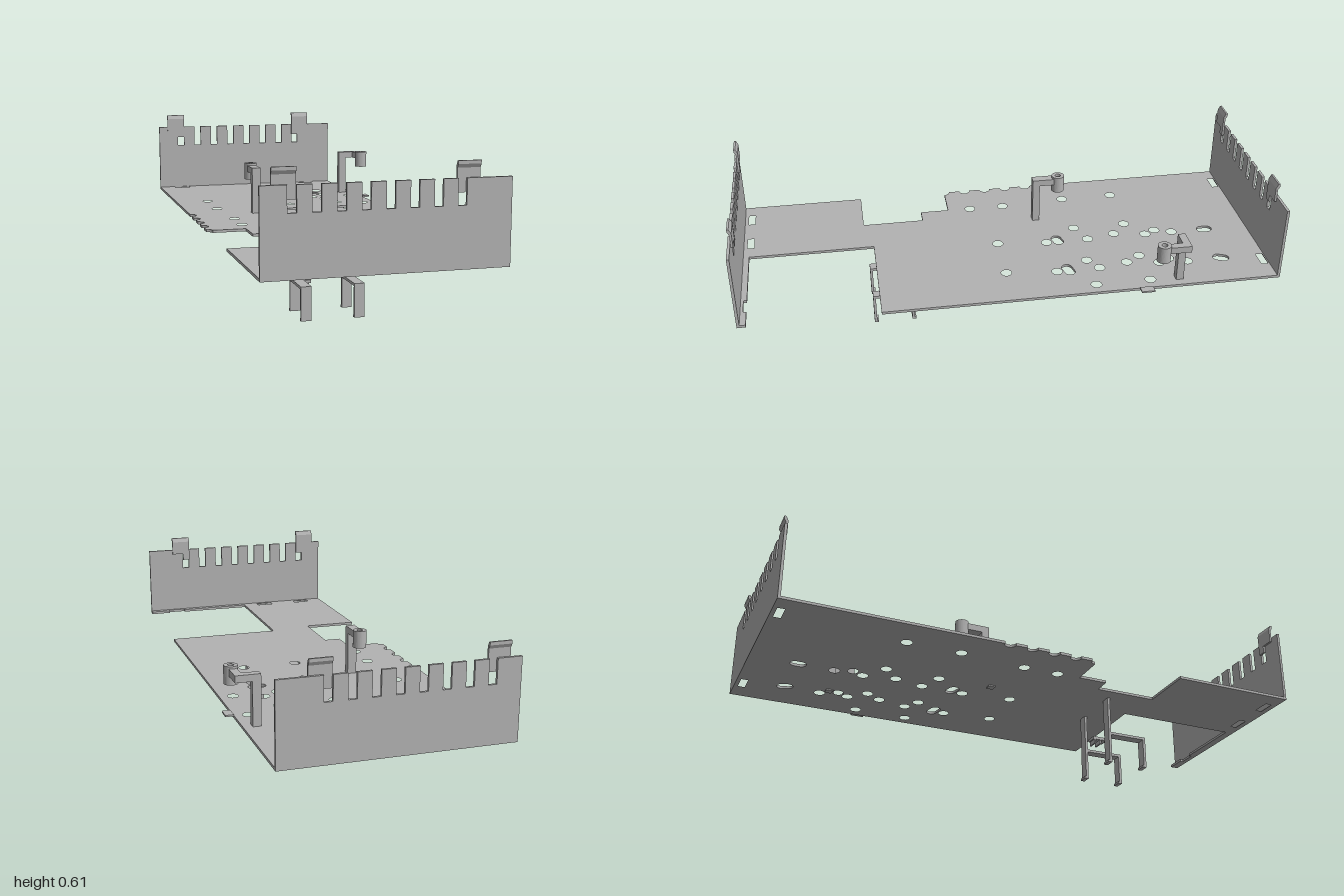
import * as THREE from 'three';

const gray = new THREE.MeshStandardMaterial({ color: 0xb2b2b2 });
gray.name = 'gray';

const BOTTOM = 0.265, TOP = 0.275;
const LEFT = -0.425, RIGHT = 0.385;

export function createModel() {
  const model = new THREE.Group();
  model.name = 'chassis';

  function add(name, geometry, parent = model) {
    const mesh = new THREE.Mesh(geometry, gray);
    mesh.name = name;
    parent.add(mesh);
    return mesh;
  }
  // Box given by its limits on each axis
  function box(name, x0, x1, y0, y1, z0, z1, parent) {
    const g = new THREE.BoxGeometry(x1 - x0, y1 - y0, z1 - z0);
    g.translate((x0 + x1) / 2, (y0 + y1) / 2, (z0 + z1) / 2);
    return add(name, g, parent);
  }
  function extrude(shape, depth) {
    return new THREE.ExtrudeGeometry(shape, { depth, bevelEnabled: false, curveSegments: 16 });
  }
  function group(name) {
    const g = new THREE.Group();
    g.name = name;
    model.add(g);
    return g;
  }

  // Base plate outline, drawn in x and -z
  const plate = new THREE.Shape();
  plate.moveTo(LEFT, 0.99);
  plate.lineTo(RIGHT, 0.99);
  plate.lineTo(RIGHT, -0.49);
  plate.lineTo(-0.053, -0.49);
  plate.lineTo(-0.053, -0.99);
  plate.lineTo(LEFT, -0.99);
  plate.lineTo(LEFT, -0.52);
  plate.lineTo(-0.217, -0.52);
  plate.lineTo(-0.217, -0.283);
  plate.lineTo(-0.28, -0.283);
  plate.lineTo(-0.28, -0.172);
  plate.lineTo(-0.404, -0.172);
  // Scalloped side edge
  plate.absarc(LEFT, -0.172, 0.021, 0, Math.PI / 2, false);
  for (const z of [0.086, 0, -0.086, -0.172]) {
    plate.absarc(LEFT, -z, 0.021, -Math.PI / 2, Math.PI / 2, false);
  }
  plate.lineTo(LEFT, 0.99);

  // Round holes: x, z
  const holes = [
    [0.025, -0.685], [0.238, -0.685], [0.003, -0.62], [0.209, -0.62],
    [0.025, -0.577], [0.23, -0.577], [0.003, -0.455], [0.209, -0.455],
    [0.025, -0.344], [0.23, -0.344], [0.025, -0.18], [0.23, -0.18],
    [0.003, 0.01], [0.209, 0.01], [-0.276, -0.053], [-0.276, 0.082],
  ];
  for (const z of [-0.513, -0.307]) {
    for (const x of [-0.294, -0.063, 0.172, 0.336]) holes.push([x, z]);
  }
  for (const [x, z] of holes) {
    plate.holes.push(new THREE.Path().absarc(x, -z, 0.02, 0, Math.PI * 2, true));
  }
  // Merged pairs of holes, rounded at both ends
  for (const [x0, z0, x1, z1] of [
    [0.025, -0.83, 0.025, -0.81], [0.238, -0.83, 0.23, -0.81],
    [0.003, -0.222, 0.025, -0.228], [0.209, -0.222, 0.238, -0.228],
  ]) {
    const a = Math.atan2(z0 - z1, x1 - x0);
    const p = new THREE.Path();
    p.absarc(x0, -z0, 0.02, a + Math.PI / 2, a + Math.PI * 1.5, false);
    p.absarc(x1, -z1, 0.02, a - Math.PI / 2, a + Math.PI / 2, false);
    p.closePath();
    plate.holes.push(p);
  }
  // Rectangular slots beside the end walls
  for (const [x, z] of [[-0.36, 0.95], [-0.182, 0.95], [-0.36, -0.985], [0.235, -0.985]]) {
    const p = new THREE.Path();
    p.moveTo(x, -z);
    p.lineTo(x + 0.067, -z);
    p.lineTo(x + 0.067, -z - 0.026);
    p.lineTo(x, -z - 0.026);
    p.closePath();
    plate.holes.push(p);
  }
  const plateGeometry = extrude(plate, TOP - BOTTOM);
  plateGeometry.rotateX(-Math.PI / 2);
  plateGeometry.translate(0, BOTTOM, 0);
  add('basePlate', plateGeometry);

  // Comb-topped end walls, each with two bent clips on the inside
  const wall = new THREE.Shape();
  wall.moveTo(LEFT, BOTTOM);
  wall.lineTo(RIGHT, BOTTOM);
  wall.lineTo(RIGHT, 0.553);
  for (let i = 7; i >= 0; i--) {
    const x = -0.34 + i * 0.0777;
    wall.lineTo(x + 0.029, 0.553);
    wall.lineTo(x + 0.029, 0.468);
    wall.lineTo(x, 0.468);
    wall.lineTo(x, 0.553);
  }
  wall.lineTo(LEFT, 0.553);

  // Clip profile, drawn in z and y
  const clip = new THREE.Shape([
    [0.982, 0.535], [0.99, 0.535], [0.99, 0.584], [0.997, 0.596], [0.997, 0.607],
    [0.99, 0.607], [0.982, 0.59],
  ].map(([z, y]) => new THREE.Vector2(z, y)));

  for (const side of [1, -1]) {
    const end = group(side > 0 ? 'frontWall' : 'backWall');
    const g = extrude(wall, 0.01);
    g.translate(0, 0, side > 0 ? 0.99 : -1);
    add('combWall', g, end);
    for (const [x, tongue] of [[-0.388, -0.34], [0.203, 0.203]]) {
      const c = extrude(clip, 0.077);
      c.rotateY(-Math.PI / 2);
      // Turned profile points along +z with its width running towards -x
      c.translate(x + 0.077, 0, 0);
      if (side < 0) {
        c.rotateY(Math.PI);
        c.translate(2 * x + 0.077, 0, 0);
      }
      add('clip', c, end);
      const z0 = side > 0 ? 0.982 : -0.99;
      box('clipTongue', tongue, tongue + 0.029, 0.507, 0.535, z0, z0 + 0.008, end);
    }
  }

  // Narrow foot flange along the open part of the front wall
  box('wallFlange', -0.053, 0.235, BOTTOM, TOP, 0.968, 0.99);
  box('wallFlange', 0.235, 0.305, BOTTOM, TOP, 0.98, 0.99);
  box('wallFlange', 0.305, RIGHT, BOTTOM, TOP, 0.968, 0.99);

  // Hollow socket on the end of each arm
  function socket(x, z, parent) {
    const ring = new THREE.Shape().absarc(0, 0, 0.025, 0, Math.PI * 2, false);
    ring.holes.push(new THREE.Path().absarc(0, 0, 0.011, 0, Math.PI * 2, true));
    const g = extrude(ring, 0.065);
    g.rotateX(-Math.PI / 2);
    g.translate(x, 0.4, z);
    add('socket', g, parent);
  }
  const inner = group('innerBracket');
  box('post', -0.18, -0.146, TOP, 0.457, -0.183, -0.155, inner);
  box('arm', -0.18, -0.146, 0.432, 0.457, -0.24, -0.183, inner);
  socket(-0.163, -0.258, inner);

  const outer = group('edgeBracket');
  box('post', 0.323, 0.353, TOP, 0.457, -0.635, -0.607, outer);
  box('arm', 0.353, 0.412, 0.432, 0.457, -0.635, -0.607, outer);
  box('arm', 0.384, 0.412, 0.432, 0.457, -0.607, -0.555, outer);
  socket(0.4, -0.535, outer);
  box('edgeTab', RIGHT, 0.415, 0.273, 0.279, -0.51, -0.46);

  // Legs: tall back strip with a shelf and a short front strip
  for (const [x0, x1] of [[-0.163, -0.125], [0.032, 0.069]]) {
    const leg = group('leg');
    box('tallStrip', x0, x1, 0, BOTTOM, 0.352, 0.362, leg);
    box('shelf', x0, x1, 0.113, 0.123, 0.362, 0.51, leg);
    box('shortStrip', x0, x1, 0, 0.113, 0.5, 0.51, leg);
    box('toe', x0, x1, 0, 0.008, 0.346, 0.352, leg);
    box('toe', x0, x1, 0, 0.008, 0.494, 0.5, leg);
  }
  // Small side hook on one leg
  const hook = group('legHook');
  box('hookTop', -0.125, -0.085, 0.1, 0.111, 0.305, 0.362, hook);
  box('hookLip', -0.125, -0.085, 0.084, 0.1, 0.31, 0.316, hook);
  box('hookLip', -0.125, -0.085, 0.084, 0.1, 0.332, 0.338, hook);

  // Pressed tabs under the plate
  box('pressedTab', -0.09, -0.063, 0.26, BOTTOM, -0.115, -0.09);
  box('pressedTab', 0.19, 0.217, 0.26, BOTTOM, -0.67, -0.645);
  return model;
}
